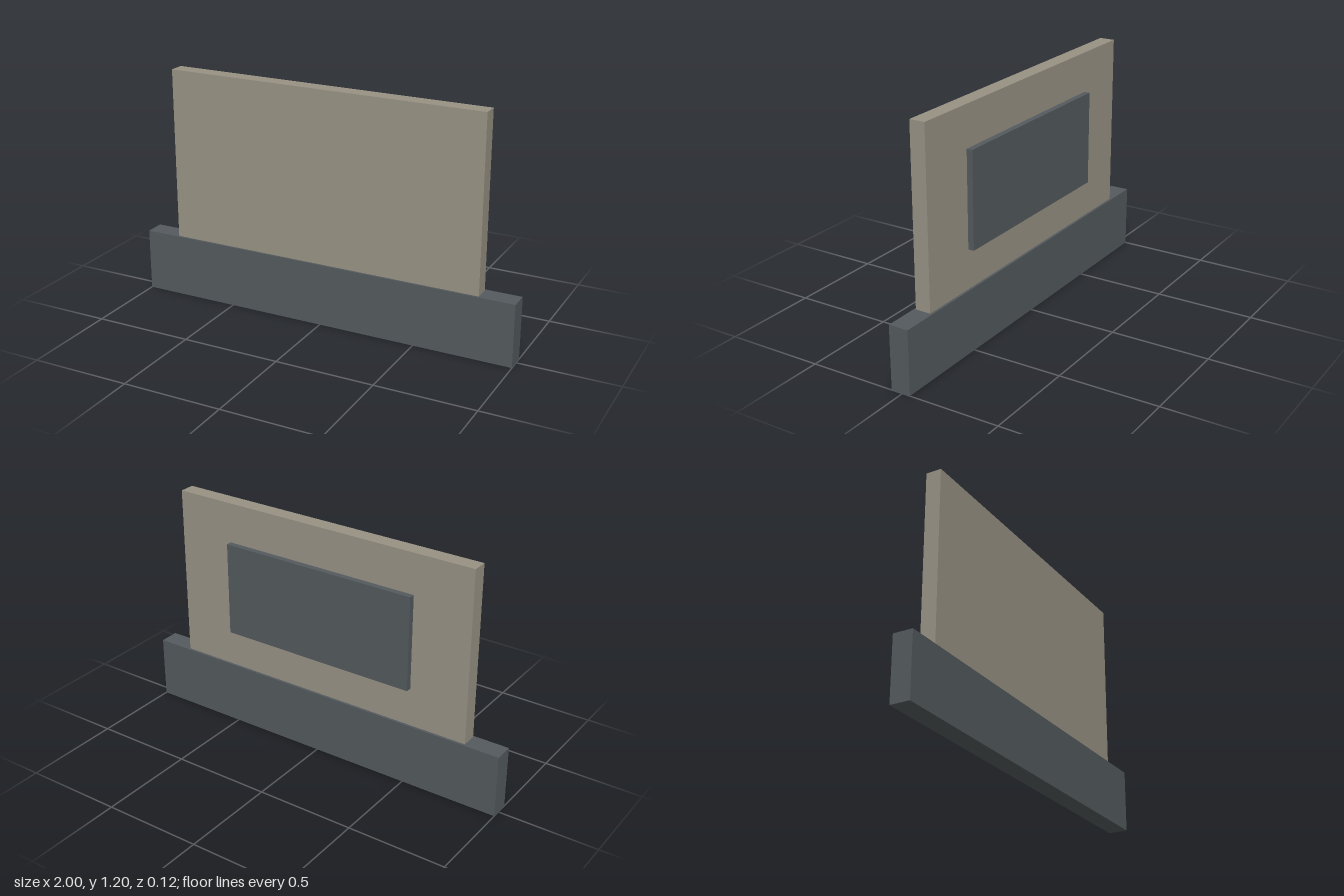
import * as THREE from 'three';

export function createModel() {
  const group = new THREE.Group();
  const stone = new THREE.MeshStandardMaterial({ color: 0x989284 });
  const slate = new THREE.MeshStandardMaterial({ color: 0x535a5d });

  // Box given by its size, bottom height and middle depth
  const addBox = (name, material, [w, h, d], bottom, z) => {
    const mesh = new THREE.Mesh(new THREE.BoxGeometry(w, h, d), material);
    mesh.name = name;
    mesh.position.set(0, bottom + h / 2, z);
    group.add(mesh);
  };

  // Long plinth along the ground
  addBox('base', slate, [2, 0.32, 0.1], 0, 0.009);
  // Upright slab standing on the plinth
  addBox('panel', stone, [1.64, 0.88, 0.078], 0.32, 0.01);
  // Thin plate fixed to the back of the slab
  addBox('backPlate', slate, [1.04, 0.48, 0.03], 0.516, -0.044);

  return group;
}
